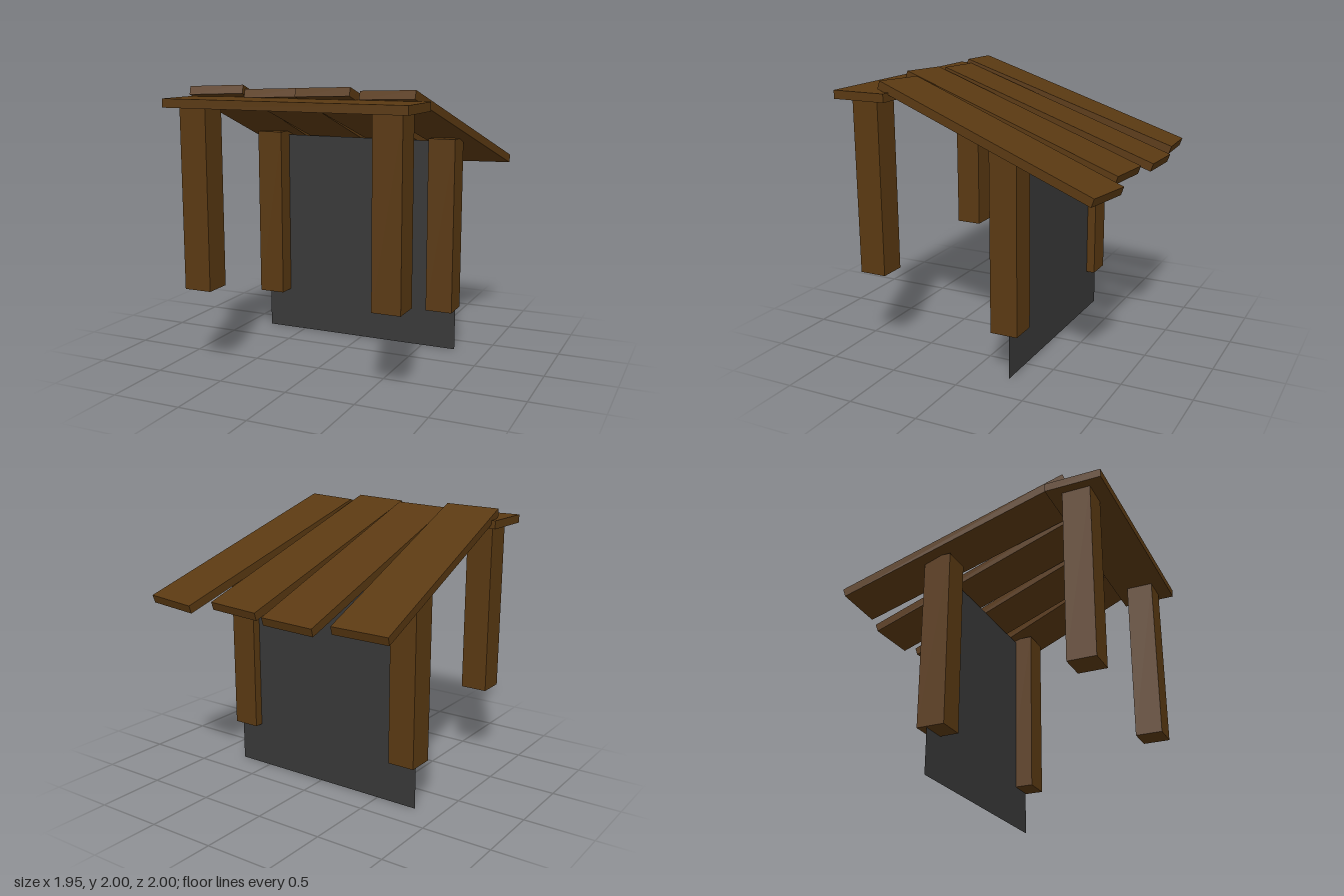
import * as THREE from 'three';

export function createModel() {
  const model = new THREE.Group();
  const wood = new THREE.MeshStandardMaterial({ color: 0x5a3912, flatShading: true });
  const dark = new THREE.MeshStandardMaterial({ color: 0x383838, side: THREE.DoubleSide });

  const addBox = (name, size, position) => {
    const mesh = new THREE.Mesh(new THREE.BoxGeometry(...size), wood);
    mesh.name = name;
    mesh.position.set(...position);
    model.add(mesh);
    return mesh;
  };

  // Four square posts; the back pair stands lower than the front pair
  for (const [side, x] of [['Right', -0.727], ['Left', 0.673]]) {
    addBox('frontPost' + side, [0.2, 1.26, 0.2], [x, 1.22, 0.8]);
    addBox('backPost' + side, [0.2, 1.28, 0.2], [x, 0.96, -0.25]);
  }

  // Flat plank across the front posts
  addBox('counterPlank', [1.74, 0.06, 0.4], [-0.025, 1.88, 0.8]);

  // Sloping roof planks, fanned out: x, y, z, yaw
  const planks = [
    [-0.716, 1.676, -0.11, 0.073],
    [-0.256, 1.66, -0.155, -0.003],
    [0.2, 1.677, -0.095, -0.06],
    [0.673, 1.664, -0.155, -0.121],
  ];
  planks.forEach(([x, y, z, yaw], i) => {
    const plank = addBox('roofPlank' + (i + 1), [0.4, 0.06, 1.74], [x, y, z]);
    plank.rotation.set(-0.333, yaw, 0.038, 'YXZ');
  });

  // Thin sheet hung between the back posts
  const sheet = new THREE.Mesh(new THREE.PlaneGeometry(1.57, 1.57), dark);
  sheet.name = 'backSheet';
  sheet.position.set(-0.025, 0.785, -0.285);
  model.add(sheet);

  return model;
}
